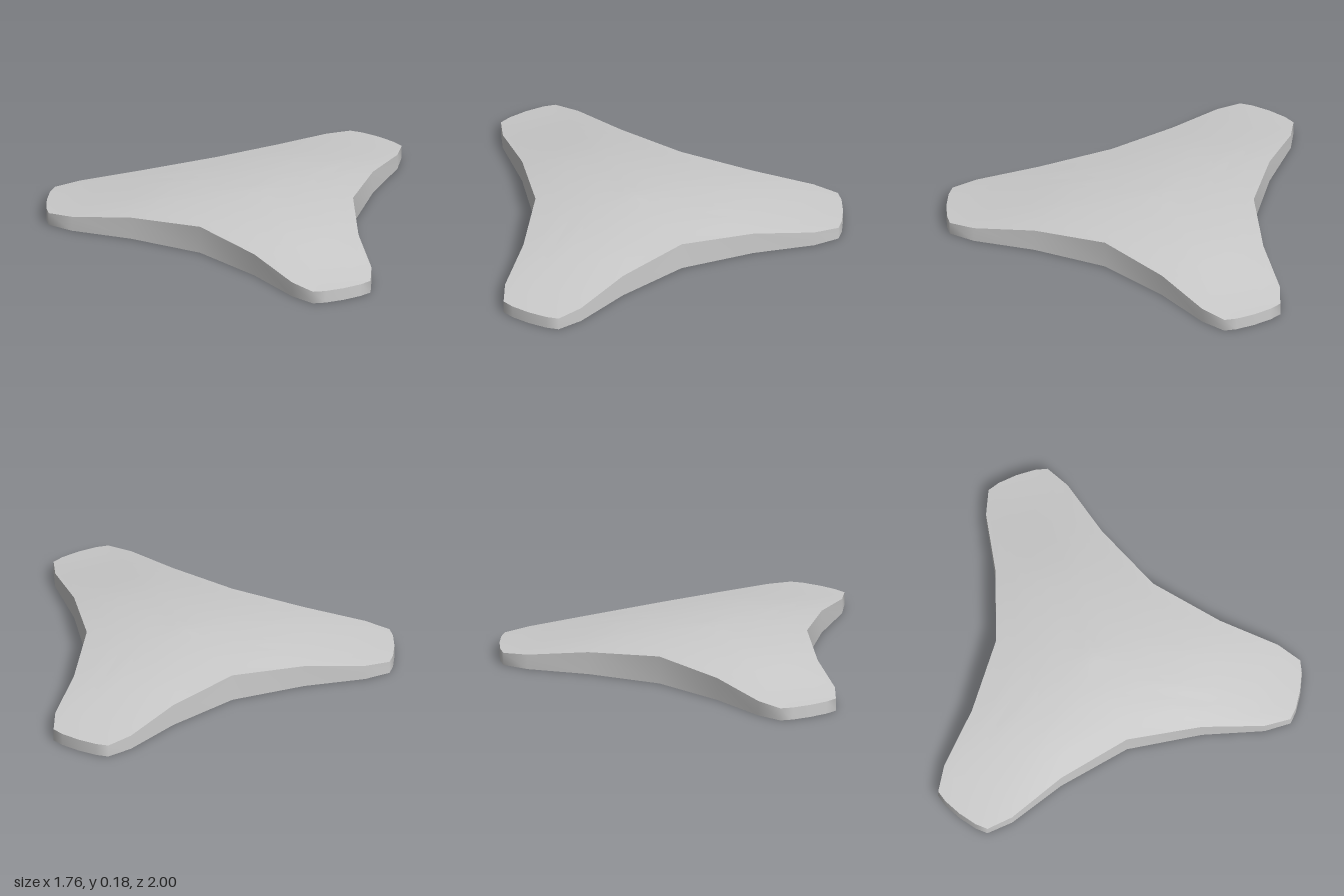
import * as THREE from 'three';

const CENTRE_X = -0.21;
const RINGS = 10;

// Half of one arm: [along, across] from the tip to the notch between arms
const HALF_ARM = [[1.085, 0], [1.078, 0.1], [1.06, 0.163], [0.935, 0.225], [0.62, 0.295], [0.25, 0.433]];

// Dome height by distance from the hub
const DOME = [[0, 0.178], [0.25, 0.168], [0.5, 0.147], [0.69, 0.119], [0.96, 0.079], [1.07, 0.066], [1.2, 0.064]];

function domeHeight(r) {
  const i = Math.max(1, DOME.findIndex(([d]) => d >= r));
  const [r0, h0] = DOME[i - 1], [r1, h1] = DOME[i];
  return THREE.MathUtils.mapLinear(r, r0, r1, h0, h1);
}

// Three mirrored arms, counter-clockwise seen from above, as [x, z]
function makeOutline() {
  const arm = [
    ...HALF_ARM.slice(1, -1).reverse().map(([a, b]) => [a, -b]),
    ...HALF_ARM,
  ];
  const points = [];
  for (let k = 0; k < 3; k++) {
    const c = Math.cos(k * Math.PI * 2 / 3), s = Math.sin(k * Math.PI * 2 / 3);
    for (const [a, b] of arm) points.push([a * c - b * s, -(a * s + b * c)]);
  }
  return points;
}

function makeGeometry(positions, indices) {
  const geometry = new THREE.BufferGeometry();
  geometry.setAttribute('position', new THREE.Float32BufferAttribute(positions, 3));
  geometry.setIndex(indices);
  geometry.computeVertexNormals();
  return geometry;
}

// Quads between two closed loops of n vertices, the second lying outside or below
function bridge(indices, a, b, n) {
  for (let i = 0; i < n; i++) {
    const j = (i + 1) % n;
    indices.push(a + i, b + i, b + j, a + i, b + j, a + j);
  }
}

export function createModel() {
  const group = new THREE.Group();
  group.name = 'threeArmedPlate';
  const material = new THREE.MeshStandardMaterial({ color: 0xcccccc });
  const outline = makeOutline();
  const n = outline.length;

  const add = (name, positions, indices) => {
    const mesh = new THREE.Mesh(makeGeometry(positions, indices), material);
    mesh.name = name;
    mesh.position.x = CENTRE_X;
    group.add(mesh);
  };

  // Domed top: the outline shrunk in rings towards the hub
  const top = [0, domeHeight(0), 0], topIndex = [];
  for (let k = 1; k <= RINGS; k++) {
    const s = k / RINGS;
    for (const [x, z] of outline) top.push(x * s, domeHeight(Math.hypot(x, z) * s), z * s);
    if (k > 1) bridge(topIndex, 1 + (k - 2) * n, 1 + (k - 1) * n, n);
  }
  for (let i = 0; i < n; i++) topIndex.push(0, 1 + i, 1 + (i + 1) % n);
  add('domedTop', top, topIndex);

  // Upright rim from the dome edge to the ground
  const rim = [], rimIndex = [];
  for (const [x, z] of outline) rim.push(x, domeHeight(Math.hypot(x, z)), z);
  for (const [x, z] of outline) rim.push(x, 0, z);
  bridge(rimIndex, 0, n, n);
  add('rim', rim, rimIndex);

  // Flat underside
  const base = [0, 0, 0], baseIndex = [];
  for (const [x, z] of outline) base.push(x, 0, z);
  for (let i = 0; i < n; i++) baseIndex.push(0, 1 + (i + 1) % n, 1 + i);
  add('underside', base, baseIndex);

  return group;
}
